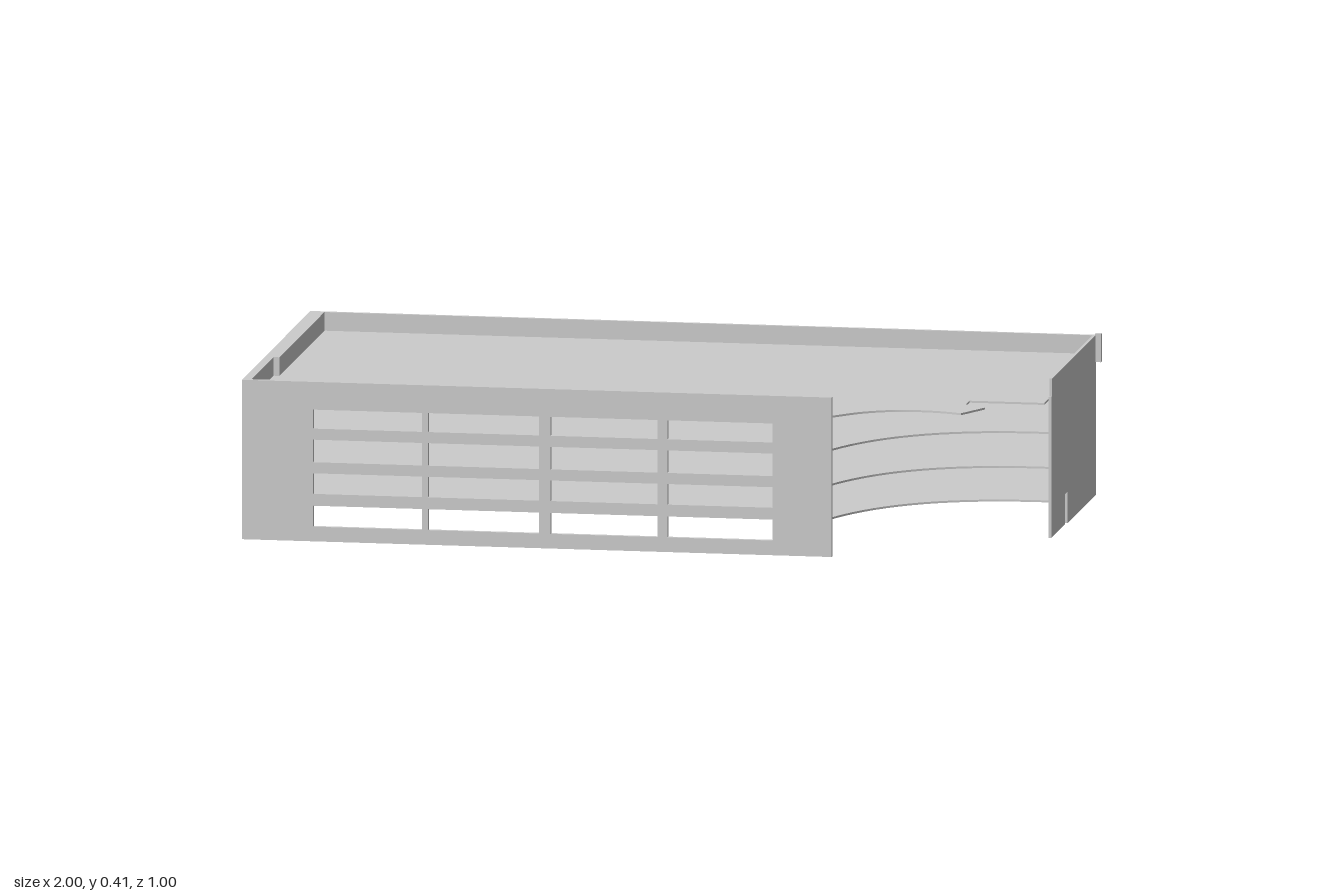
import * as THREE from 'three';

export function createModel() {
  const model = new THREE.Group();
  const material = new THREE.MeshStandardMaterial({ color: 0xcccccc, flatShading: true, side: THREE.DoubleSide });

  const add = (name, geometry) => {
    const mesh = new THREE.Mesh(geometry, material);
    mesh.name = name;
    model.add(mesh);
    return mesh;
  };
  const extrude = (shape, depth) => new THREE.ExtrudeGeometry(shape, { depth, bevelEnabled: false, curveSegments: 16 });
  const polygon = (points) => new THREE.Shape(points.map(([a, b]) => new THREE.Vector2(a, b)));
  const box = (name, x0, x1, y0, y1, z0, z1) => {
    const mesh = add(name, new THREE.BoxGeometry(x1 - x0, y1 - y0, z1 - z0));
    mesh.position.set((x0 + x1) / 2, (y0 + y1) / 2, (z0 + z1) / 2);
  };

  // Long walls pierced by a grid of window openings
  const rows = [[0.037, 0.09], [0.12, 0.172], [0.2, 0.257], [0.285, 0.333]];
  const windowWall = (name, x0, x1, columns, z, depth) => {
    const shape = polygon([[x0, 0], [x1, 0], [x1, 0.403], [x0, 0.403]]);
    for (const [a, b] of columns) {
      for (const [c, d] of rows) {
        shape.holes.push(polygon([[a, c], [a, d], [b, d], [b, c]]));
      }
    }
    add(name, extrude(shape, depth)).position.z = z;
  };
  windowWall('frontWall', -1, 0.49, [[-0.82, -0.545], [-0.53, -0.25], [-0.22, 0.05], [0.075, 0.34]], 0.485, 0.012);
  windowWall('backWall', -1, 0.985, [[-0.81, -0.535], [-0.505, -0.225], [-0.2, 0.075]], -0.5, 0.01);

  // End walls, drawn in z and y, each with a doorway at the ground
  const endWall = (name, points, outerX, depth) => {
    const geometry = extrude(polygon(points), depth);
    geometry.rotateY(-Math.PI / 2);
    add(name, geometry).position.x = outerX;
  };
  endWall('leftEndWall', [
    [-0.49, 0], [-0.08, 0], [-0.08, 0.08], [-0.04, 0.08], [-0.04, 0.004], [0.157, 0.004],
    [0.157, 0.36], [0.147, 0.36], [0.147, 0.405], [-0.49, 0.405],
  ], 0.986, 0.007);
  endWall('rightEndWall', [
    [-0.49, 0], [-0.075, 0], [-0.075, 0.08], [0.03, 0.08], [0.03, 0],
    [0.485, 0], [0.485, 0.403], [-0.49, 0.403],
  ], -0.978, 0.022);

  // Parapet lining and corner block
  box('parapetLining', -0.978, -0.963, 0.35, 0.403, -0.49, 0.165);
  box('cornerBlock', 0.985, 1, 0.337, 0.408, -0.5, -0.482);

  // Floor plates, drawn in x and z
  const plate = (name, shape, top) => {
    const geometry = extrude(shape, 0.005);
    geometry.rotateX(Math.PI / 2);
    add(name, geometry).position.y = top;
  };

  // Lower decks with a concave open corner
  const deck = new THREE.Shape();
  deck.moveTo(-0.978, -0.49);
  deck.lineTo(0.979, -0.49);
  deck.lineTo(0.979, 0.16);
  deck.quadraticCurveTo(0.625, 0.15, 0.49, 0.486);
  deck.lineTo(-0.978, 0.486);
  deck.closePath();
  [0.099, 0.184, 0.272].forEach((top, i) => plate(`deck${i + 1}`, deck, top));

  // Roof deck with a ragged corner
  const roof = new THREE.Shape();
  roof.moveTo(-0.978, -0.49);
  for (const [x, z] of [[0.979, -0.49], [0.979, 0.22], [0.79, 0.22], [0.79, 0.275], [0.845, 0.31], [0.8, 0.4]]) {
    roof.lineTo(x, z);
  }
  roof.splineThru([[0.75, 0.382], [0.69, 0.375], [0.62, 0.385], [0.55, 0.425], [0.49, 0.49]]
    .map(([x, z]) => new THREE.Vector2(x, z)));
  roof.lineTo(-0.978, 0.488);
  roof.closePath();
  plate('roofDeck', roof, 0.356);

  return model;
}
